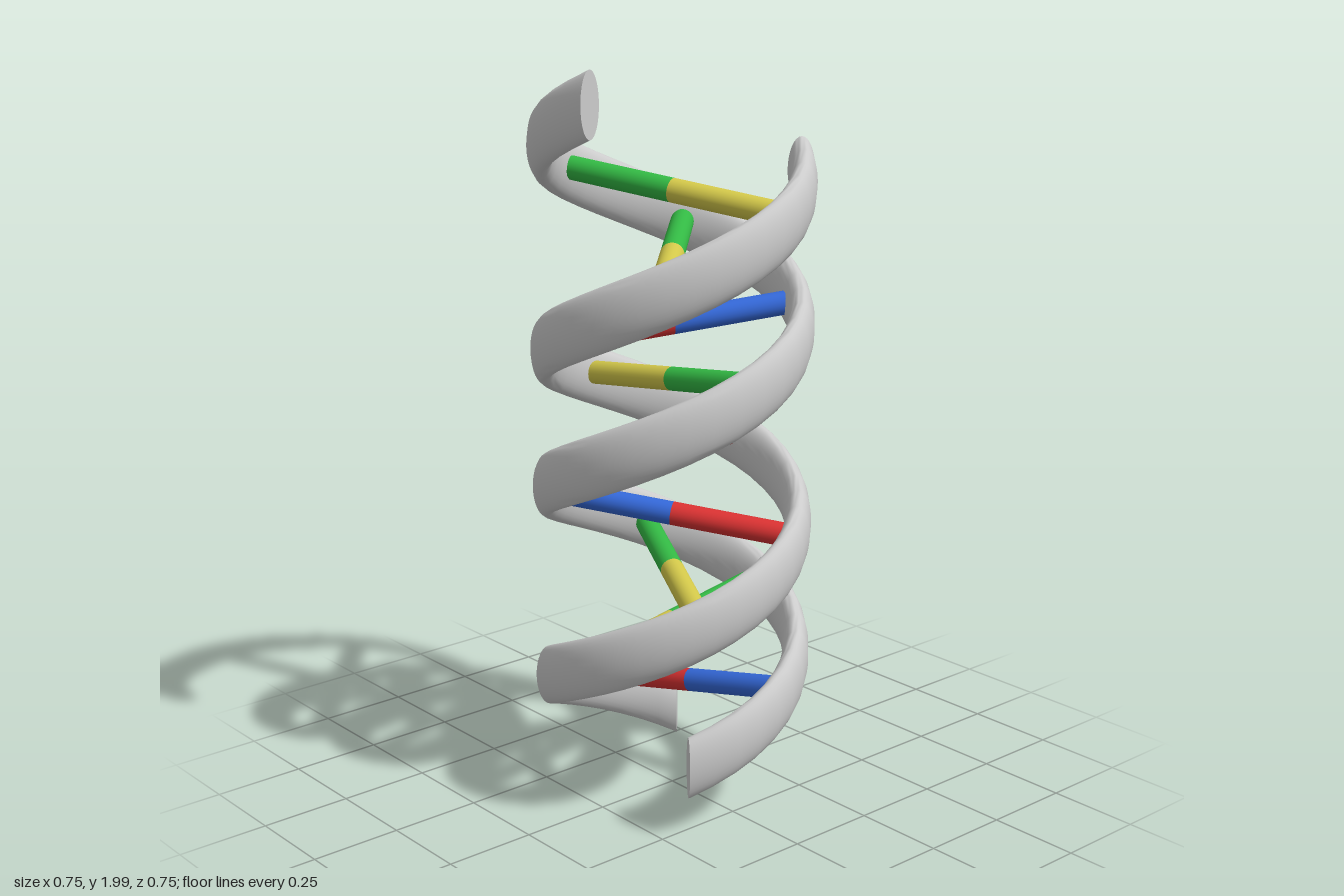
import * as THREE from 'three';
import { toCreasedNormals } from 'three/addons/utils/BufferGeometryUtils.js';

const RADIUS = 0.337;
const RISE = 0.002535; // height gained per degree of turn
const rad = THREE.MathUtils.degToRad;

// Bearing 0 faces the front (+z), 90 faces +x
const polar = (deg, r, y) => new THREE.Vector3(r * Math.sin(rad(deg)), y, r * Math.cos(rad(deg)));

const COLORS = { red: 0xd93232, blue: 0x3468d8, green: 0x33b944, yellow: 0xd3c84a };

// Helical ribbon with an upright elliptical section, bent from a cylinder
function strand(name, startDeg, endDeg, startY, endY) {
  const geo = new THREE.CylinderGeometry(1, 1, 1, 32, 64);
  const pos = geo.attributes.position;
  for (let i = 0; i < pos.count; i++) {
    const t = pos.getY(i) + 0.5;
    const p = polar(
      THREE.MathUtils.lerp(startDeg, endDeg, t),
      RADIUS + 0.036 * pos.getX(i),
      THREE.MathUtils.lerp(startY, endY, t) + 0.085 * pos.getZ(i)
    );
    pos.setXYZ(i, p.x, p.y, p.z);
  }
  const mesh = new THREE.Mesh(toCreasedNormals(geo, 1), new THREE.MeshStandardMaterial({ color: 0xcccccc }));
  mesh.name = name;
  return mesh;
}

// Cylinder between two points
function rod(name, a, b, color) {
  const dir = b.clone().sub(a);
  const mesh = new THREE.Mesh(
    new THREE.CylinderGeometry(0.032, 0.032, dir.length(), 24),
    new THREE.MeshStandardMaterial({ color: COLORS[color] })
  );
  mesh.position.copy(a).add(b).multiplyScalar(0.5);
  mesh.quaternion.setFromUnitVectors(new THREE.Vector3(0, 1, 0), dir.normalize());
  mesh.name = name;
  return mesh;
}

// Rung made of two coloured halves meeting in the middle
function rung(index, high, low, highColor, lowColor) {
  const g = new THREE.Group();
  g.name = 'rung' + index;
  const mid = high.clone().add(low).multiplyScalar(0.5);
  g.add(rod('rungUpperHalf', mid, high, highColor), rod('rungLowerHalf', low, mid, lowColor));
  return g;
}

export function createModel() {
  const model = new THREE.Group();
  model.name = 'doubleHelix';

  // The two strands
  model.add(strand('lowerStrand', 136.8, 777.3, 0.095, 1.715));
  model.add(strand('upperStrand', -33.7, 643, 0.205, 1.915));

  // Lowest rung, set off the axis
  model.add(rung(1, new THREE.Vector3(0.15, 0.335, 0.27), new THREE.Vector3(0.02, 0.235, -0.31), 'blue', 'red'));

  // Rungs through the axis: bearing of the higher end, then both colours
  const rungs = [
    [94, 'green', 'yellow'],
    [153, 'green', 'yellow'],
    [216, 'blue', 'red'],
    [289, 'blue', 'red'],
    [363, 'green', 'yellow'],
    [423, 'blue', 'red'],
    [494, 'green', 'yellow'],
    [560, 'green', 'yellow']
  ];
  rungs.forEach(([deg, highColor, lowColor], i) => {
    const y = 0.205 + (deg + 33.7) * RISE;
    model.add(rung(i + 2, polar(deg, 0.31, y - 0.005), polar(deg + 180, 0.31, y - 0.08), highColor, lowColor));
  });

  return model;
}
